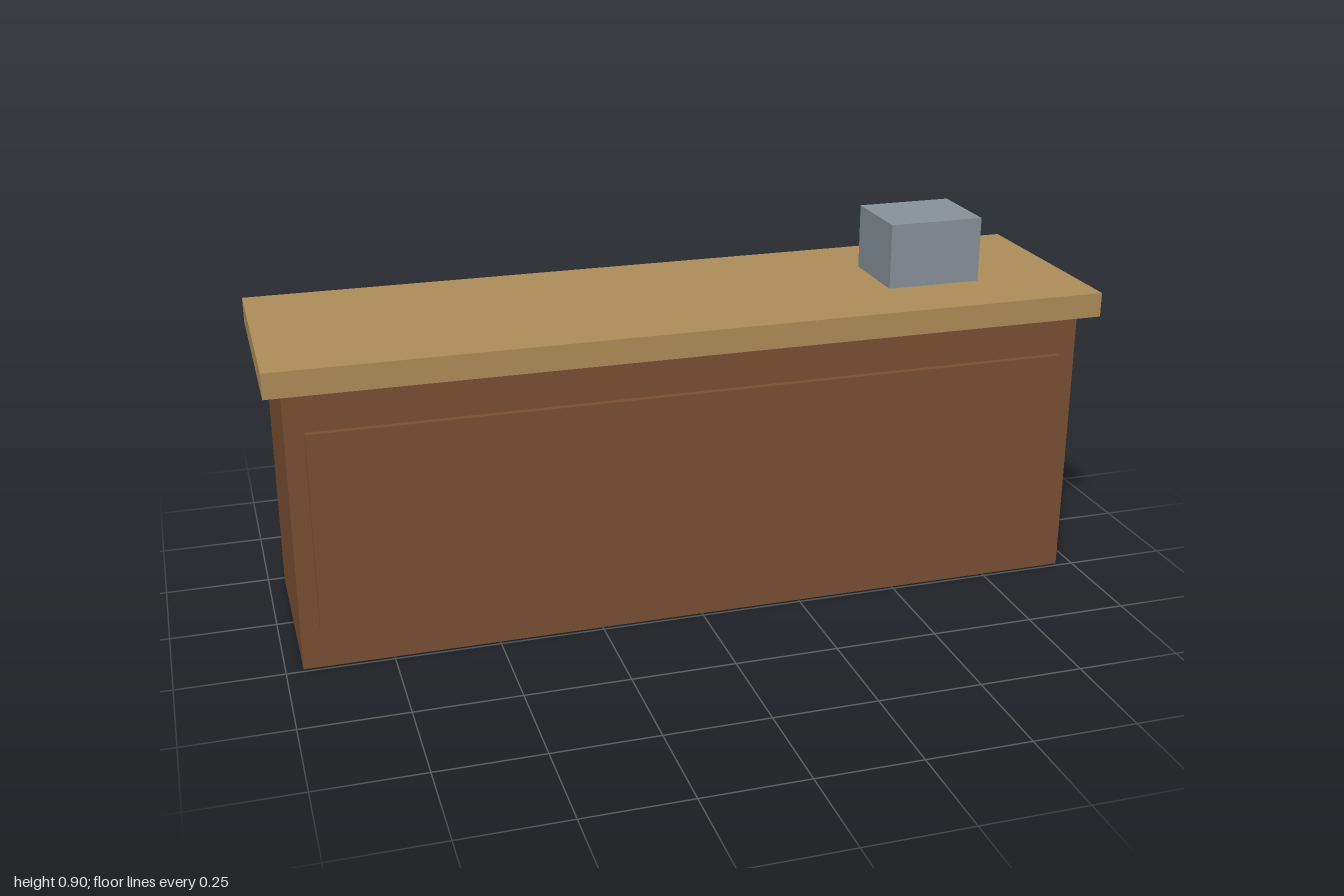
import * as THREE from 'three';

function material(name, color) {
  const m = new THREE.MeshStandardMaterial({ color });
  m.name = name;
  return m;
}

// Box given by its lower and upper corners
function block(name, mat, [x0, y0, z0], [x1, y1, z1]) {
  const mesh = new THREE.Mesh(new THREE.BoxGeometry(x1 - x0, y1 - y0, z1 - z0), mat);
  mesh.position.set((x0 + x1) / 2, (y0 + y1) / 2, (z0 + z1) / 2);
  mesh.name = name;
  return mesh;
}

export function createModel() {
  const darkWood = material('dark wood', 0x7a5033);
  const lightWood = material('light wood', 0xb08f5b);
  const greyMetal = material('grey metal', 0x8a939b);

  const counter = new THREE.Group();
  counter.name = 'counter';
  counter.add(
    // Cabinet and its raised front panel
    block('cabinet', darkWood, [-0.96, 0, -0.24], [0.96, 0.68, 0.24]),
    block('frontPanel', darkWood, [-0.916, 0.1, 0.236], [0.916, 0.58, 0.256]),
    // Overhanging worktop
    block('worktop', lightWood, [-1, 0.68, -0.28], [1, 0.74, 0.28]),
    // Till standing on the worktop
    block('till', greyMetal, [0.52, 0.74, -0.1], [0.756, 0.9, 0.1])
  );
  return counter;
}
